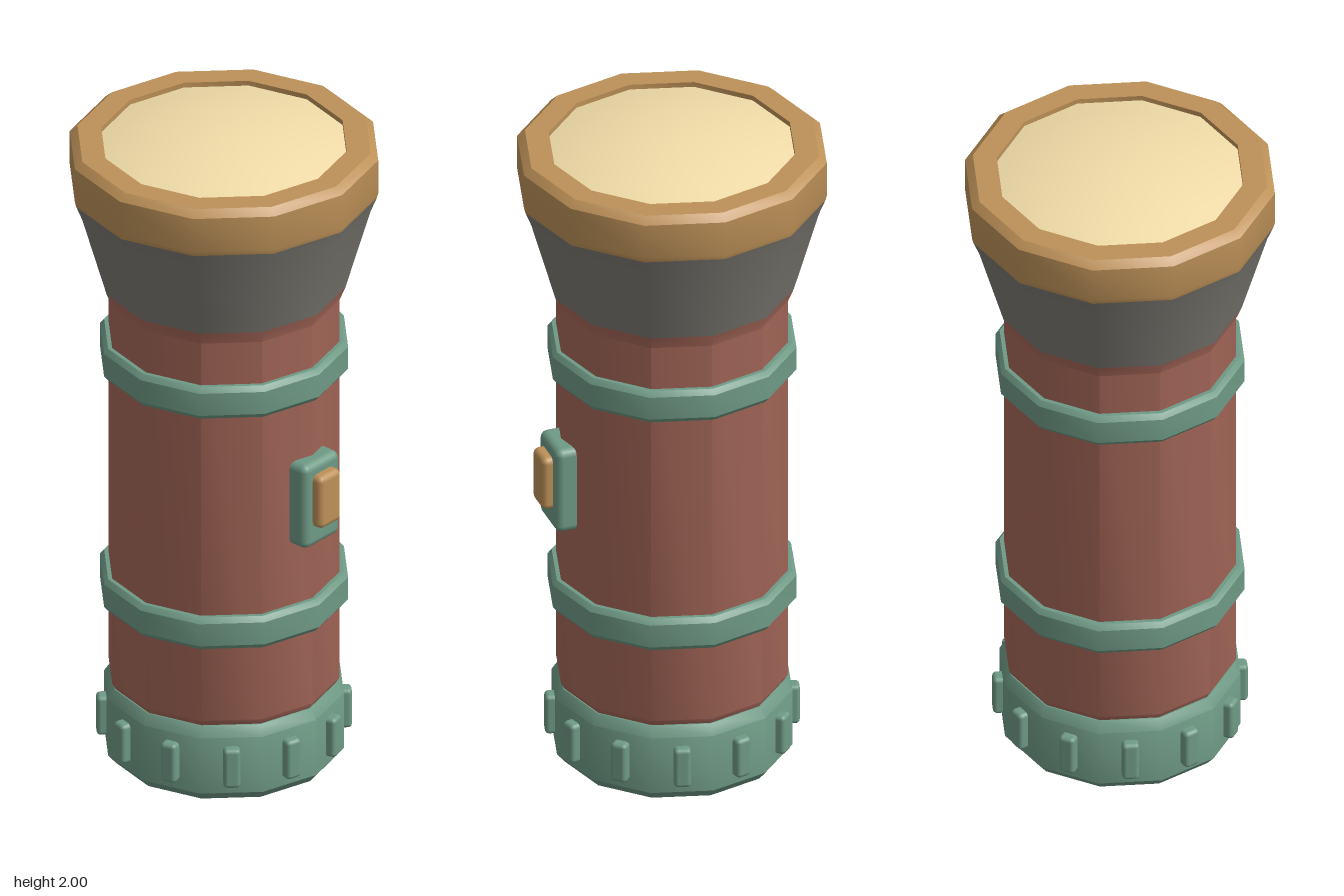
import * as THREE from 'three';
import { toCreasedNormals } from 'three/addons/utils/BufferGeometryUtils.js';
import { RoundedBoxGeometry } from 'three/addons/geometries/RoundedBoxGeometry.js';

const SIDES = 12;
const mat = (color) => new THREE.MeshStandardMaterial({ color });
const RED = mat(0xa8695a), GREEN = mat(0x6f9a86), GOLD = mat(0xbd9158), GREY = mat(0x7d7a73);
const LENS = mat(0xf0dca8), STEEL = mat(0xa9a7ae), DARK = mat(0x2c2a2a), OLIVE = mat(0x8c9a4c);

export function createModel() {
  const group = new THREE.Group();

  const add = (name, geometry, material, x = 0, y = 0, z = 0) => {
    const mesh = new THREE.Mesh(geometry, material);
    mesh.name = name;
    mesh.position.set(x, y, z);
    group.add(mesh);
    return mesh;
  };

  // Twelve-sided turned part; profile [radius, y] runs from bottom to top
  const turned = (name, profile, material, x = 0, z = 0, sides = SIDES) => {
    const points = profile.map(([r, y]) => new THREE.Vector2(r, y));
    const geometry = new THREE.LatheGeometry(points, sides);
    return add(name, toCreasedNormals(geometry, 0.6), material, x, 0, z);
  };

  // Barrel and flared head
  turned('body', [[0.3, 0.24], [0.318, 0.27], [0.33, 0.29], [0.33, 1.49], [0.346, 1.53]], RED);
  turned('head', [[0.346, 1.53], [0.418, 1.78], [0.436, 1.825]], GREY);

  // Bezel with a lip around the domed lens
  turned('bezel', [[0.436, 1.825], [0.44, 1.84], [0.44, 1.945], [0.418, 1.965],
    [0.35, 1.965], [0.35, 1.93]], GOLD);
  const dome = [];
  for (let i = 0; i <= 6; i++) {
    const t = 1 - i / 6;
    dome.push([0.35 * t, 2 - 0.05 * t * t]);
  }
  turned('lens', dome, LENS);

  // Grip bands
  for (const y of [0.575, 1.308]) {
    turned('band', [[0.32, y - 0.05], [0.342, y - 0.05], [0.354, y - 0.035],
      [0.354, y + 0.035], [0.342, y + 0.05], [0.32, y + 0.05]], GREEN);
  }

  // End cap with a rib on each side
  turned('endCap', [[0, 0.038], [0.32, 0.038], [0.342, 0.065], [0.342, 0.24],
    [0.322, 0.27], [0.3, 0.27]], GREEN);
  const ribGeometry = new RoundedBoxGeometry(0.048, 0.122, 0.06, 2, 0.012);
  for (let i = 0; i < SIDES; i++) {
    const a = ((i + 0.5) / SIDES) * Math.PI * 2;
    const rib = add('capRib', ribGeometry, GREEN, Math.sin(a) * 0.328, 0.152, Math.cos(a) * 0.328);
    rib.rotation.y = a;
  }

  // Switch on the front
  add('switchPlate', new RoundedBoxGeometry(0.15, 0.264, 0.09, 2, 0.022), GREEN, 0, 0.947, 0.325);
  add('switchButton', new RoundedBoxGeometry(0.09, 0.165, 0.08, 2, 0.018), GOLD, 0, 0.962, 0.361);

  // Screw under the cap, with a cross-shaped recess
  const head = new THREE.Shape().absarc(0, 0, 0.075, 0, Math.PI * 2);
  const l = 0.048, w = 0.012;
  const cross = [[l, -w], [l, w], [w, w], [w, l], [-w, l], [-w, w],
    [-l, w], [-l, -w], [-w, -w], [-w, -l], [w, -l], [w, -w]];
  head.holes.push(new THREE.Path(cross.map(([x, y]) => new THREE.Vector2(x, y)).reverse()));
  const screwGeometry = new THREE.ExtrudeGeometry(head, {
    depth: 0.03, curveSegments: 6, bevelEnabled: true, bevelSegments: 1,
    bevelSize: 0.008, bevelThickness: 0.01,
  });
  const screw = add('screw', toCreasedNormals(screwGeometry, 0.6), STEEL, 0, 0.04, 0);
  screw.rotation.x = Math.PI / 2;
  add('screwRecess', new THREE.CylinderGeometry(0.06, 0.06, 0.02, SIDES), DARK, 0, 0.034, 0);

  // Small stud beside the screw
  turned('stud', [[0, 0.018], [0.045, 0.02], [0.06, 0.03], [0.06, 0.045]], OLIVE, 0.2, 0.1);

  return group;
}
